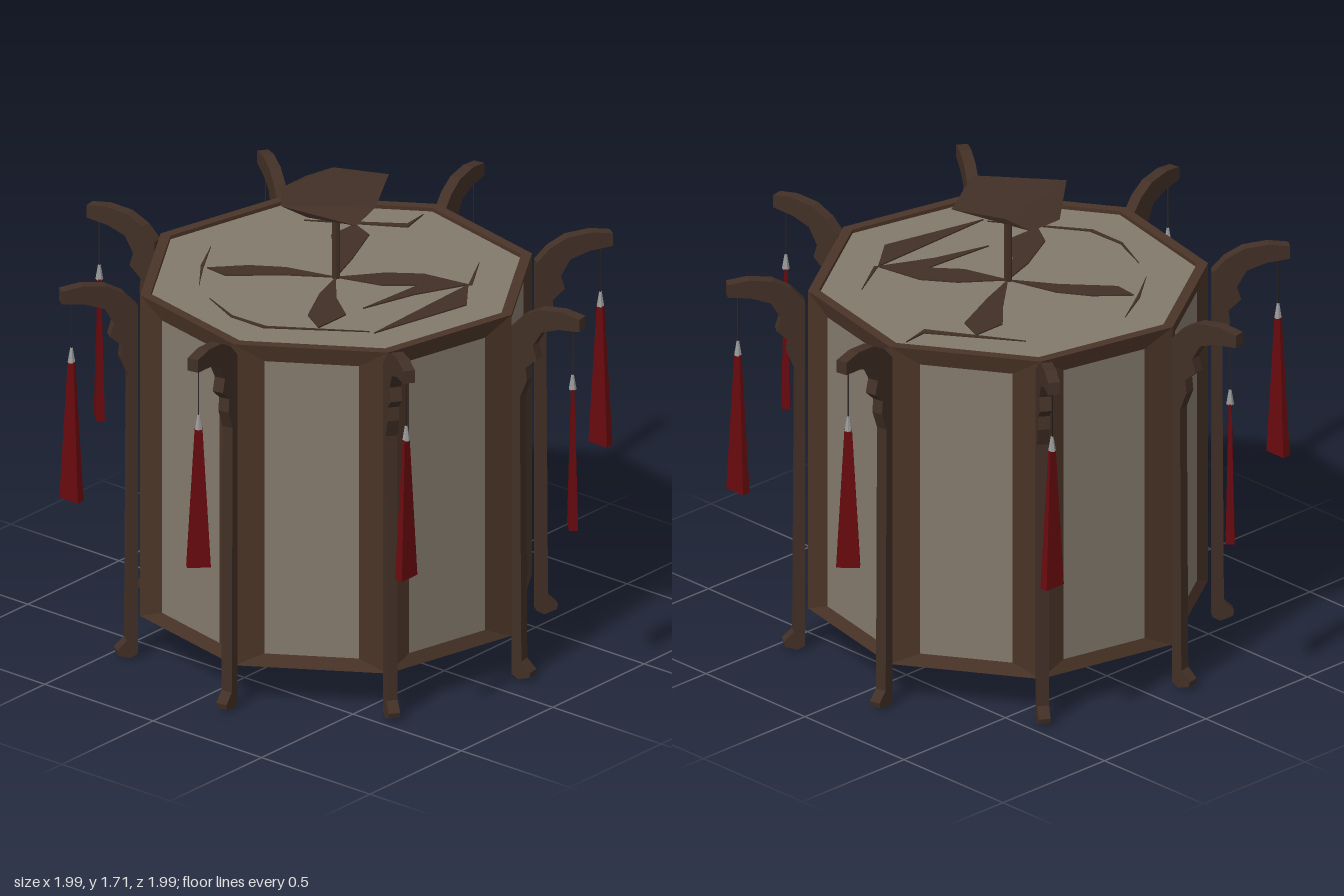
import * as THREE from 'three';
import { ConvexGeometry } from 'three/addons/geometries/ConvexGeometry.js';

const DEG = Math.PI / 180;
const R = 0.715, Y0 = 0.165, Y1 = 1.4, TURN = 10 * DEG;
const APOTHEM = R * Math.cos(22.5 * DEG), HALF = R * Math.sin(22.5 * DEG);

const mat = (name, color, extra = {}) => {
  const m = new THREE.MeshStandardMaterial({ color, flatShading: true, ...extra });
  m.name = name;
  return m;
};

function addMesh(parent, name, geometry, material, x = 0, y = 0, z = 0) {
  const m = new THREE.Mesh(geometry, material);
  m.name = name;
  m.position.set(x, y, z);
  parent.add(m);
  return m;
}

const shapeOf = (pts) => new THREE.Shape(pts.map(([x, y]) => new THREE.Vector2(x, y)));
const extrude = (pts, depth) =>
  new THREE.ExtrudeGeometry(shapeOf(pts), { depth, bevelEnabled: false });
const lathe = (pts) =>
  new THREE.LatheGeometry(pts.map(([r, y]) => new THREE.Vector2(r, y)), 8, TURN);

// Sloped rectangular frame from an outer loop to a recessed inner loop, facing +x
function frameGeometry(inset, half, y0, y1) {
  const loop = (x, h, a, b) => [[x, a, h], [x, a, -h], [x, b, -h], [x, b, h]];
  const verts = [...loop(APOTHEM, HALF, Y0, Y1), ...loop(APOTHEM - inset, half, y0, y1)];
  const index = [];
  for (let i = 0; i < 4; i++) {
    const j = (i + 1) % 4;
    index.push(i, j, j + 4, i, j + 4, i + 4);
  }
  const g = new THREE.BufferGeometry();
  g.setAttribute('position', new THREE.Float32BufferAttribute(verts.flat(), 3));
  g.setIndex(index);
  const flat = g.toNonIndexed();
  flat.computeVertexNormals();
  return flat;
}

export function createModel() {
  const frameWood = mat('frame wood', 0x4a3427);
  const darkWood = mat('dark wood', 0x423026);
  const paper = mat('paper', 0x837a6d);
  const red = mat('tassel red', 0x680a0e);
  const silver = mat('silver', 0x9a9a9a);
  const cord = mat('cord', 0x2a2624);

  const model = new THREE.Group();
  model.name = 'lantern';

  // Eight framed paper walls
  const inset = 0.016, half = 0.168, p0 = 0.21, p1 = 1.335;
  const frameGeo = frameGeometry(inset, half, p0, p1);
  const panelGeo = new THREE.PlaneGeometry(half * 2, p1 - p0).rotateY(Math.PI / 2);
  for (let i = 0; i < 8; i++) {
    const wall = new THREE.Group();
    wall.name = 'wall';
    wall.rotation.y = -(12.5 + i * 45) * DEG;
    addMesh(wall, 'wallFrame', frameGeo, frameWood);
    addMesh(wall, 'paperPanel', panelGeo, paper, APOTHEM - inset, (p0 + p1) / 2, 0);
    model.add(wall);
  }

  // Rims and the end panels inside them
  const r = 0.675, lip = 0.014;
  addMesh(model, 'topRim', lathe([[R, Y1], [r, Y1], [r, Y1 - lip]]), frameWood);
  addMesh(model, 'bottomRim', lathe([[r, Y0 + lip], [r, Y0], [R, Y0]]), frameWood);
  const endGeo = new THREE.CylinderGeometry(r, r, 0.01, 8, 1, false, TURN);
  addMesh(model, 'topPanel', endGeo, paper, 0, Y1 - lip - 0.005, 0);
  addMesh(model, 'bottomPanel', endGeo, paper, 0, Y0 + lip + 0.005, 0);

  // Flat ornaments on the end panels, outlined in x and z
  const ornaments = [
    [[0, 0], [-0.1, -0.15], [-0.24, -0.31], [-0.23, -0.4], [-0.12, -0.3], [-0.05, -0.19]],
    [[0, 0], [0.16, -0.14], [0.27, -0.25], [0.4, -0.25], [0.36, -0.15], [0.16, -0.06]],
    [[0, 0], [0.14, 0.11], [0.22, 0.22], [0.25, 0.4], [0.17, 0.31], [0.05, 0.17]],
    [[0, 0], [-0.14, 0.12], [-0.23, 0.24], [-0.38, 0.24], [-0.32, 0.14], [-0.15, 0.05]],
    [[-0.08, -0.51], [-0.24, -0.41], [-0.37, -0.32], [-0.23, -0.43]],
    [[0.31, -0.41], [0.52, -0.11], [0.62, -0.12], [0.5, -0.09]],
    [[-0.43, -0.22], [-0.495, -0.06], [-0.49, 0.09], [-0.29, 0.4], [-0.505, 0.09], [-0.505, -0.06]],
    [[-0.29, 0.42], [0.25, 0.4], [0.11, 0.51]],
    [[-0.15, 0.25], [0.16, 0.27], [0.25, 0.4], [0.06, 0.31]],
    [[0.25, 0.4], [0.43, 0.3], [0.26, 0.41]],
  ];
  for (const pts of ornaments)
    addMesh(model, 'topOrnament', extrude(pts, 0.006).rotateX(Math.PI / 2), darkWood, 0, Y1 - 0.009, 0);
  for (const pts of [
    [[-0.13, -0.22], [-0.25, -0.28], [-0.23, -0.4], [-0.13, -0.31]],
    [[-0.26, 0.05], [-0.38, 0.12], [-0.3, 0.11]],
  ])
    addMesh(model, 'bottomOrnament', extrude(pts, 0.006).rotateX(Math.PI / 2), darkWood, 0, Y0 + 0.015, 0);

  // Central pole with a faceted cap
  addMesh(model, 'pole', new THREE.CylinderGeometry(0.015, 0.015, 0.29, 6), darkWood, 0, 1.525, 0);
  const capTop = [[-0.23, -0.06], [0.15, -0.14], [0.23, 0.05], [-0.02, 0.2]];
  const capBase = [[-0.18, 0.02], [-0.04, -0.22], [0.1, -0.22], [0.1, 0.1], [-0.125, 0.2]];
  addMesh(model, 'cap', new ConvexGeometry([
    ...capTop.map(([x, z]) => new THREE.Vector3(x, 1.722, z)),
    ...capBase.map(([x, z]) => new THREE.Vector3(x, 1.684, z)),
  ]), darkWood);

  // Corner posts, each with a foot, a curved arm and a hanging tassel
  const postGeo = extrude([
    [0.728, 0.09], [0.728, 0.03], [0.755, 0.015], [0.8, 0.03], [0.805, 0.05], [0.768, 0.085],
    [0.762, 1.1], [0.79, 1.17], [0.785, 1.22], [0.83, 1.26], [0.815, 1.31], [0.85, 1.37],
    [0.92, 1.395], [1.005, 1.405], [1.005, 1.453], [0.93, 1.465], [0.84, 1.455],
    [0.775, 1.42], [0.728, 1.37],
  ], 0.042).translate(0, 0, -0.021);
  const tasselGeo = new THREE.CylinderGeometry(0.019, 0.06, 0.53, 4, 1, false, Math.PI / 4).scale(1, 1, 0.38);
  const ferruleGeo = new THREE.CylinderGeometry(0.005, 0.014, 0.055, 6);
  const cordGeo = new THREE.CylinderGeometry(0.0025, 0.0025, 0.21, 4);
  for (let i = 0; i < 8; i++) {
    const corner = new THREE.Group();
    corner.name = 'corner';
    corner.rotation.y = -(-10 + i * 45) * DEG;
    addMesh(corner, 'postAndArm', postGeo, darkWood);
    const hang = 0.965;
    addMesh(corner, 'cord', cordGeo, cord, hang, 1.315, 0);
    addMesh(corner, 'ferrule', ferruleGeo, silver, hang, 1.197, 0);
    addMesh(corner, 'tassel', tasselGeo, red, hang, 0.907, 0).rotation.y = -55 * DEG;
    model.add(corner);
  }
  return model;
}
